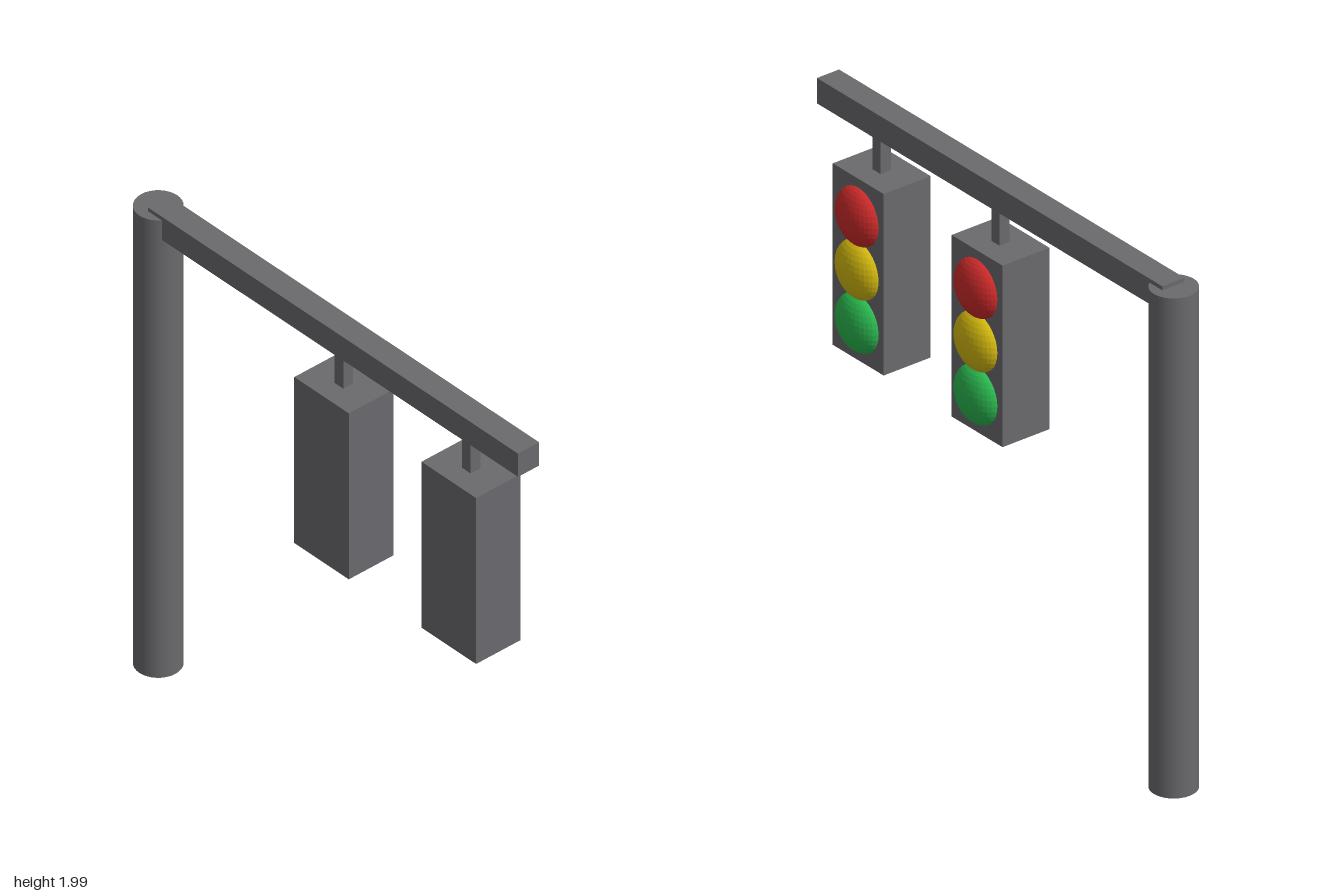
import * as THREE from 'three';

const AXIS_X = -0.03; // shared centre line of pole, arm and signals

const paint = (color, flatShading = false) => new THREE.MeshStandardMaterial({ color, flatShading });

function part(parent, name, geometry, material, x, y, z) {
  const mesh = new THREE.Mesh(geometry, material);
  mesh.name = name;
  mesh.position.set(x, y, z);
  parent.add(mesh);
  return mesh;
}

export function createModel() {
  const model = new THREE.Group();
  model.name = 'trafficLight';
  const metal = paint(0x6a6a6e);

  // Upright pole and overhanging arm
  part(model, 'pole', new THREE.CylinderGeometry(0.088, 0.088, 1.97, 32), metal, AXIS_X, 0.985, -0.912);
  part(model, 'arm', new THREE.BoxGeometry(0.098, 0.1, 1.91), metal, AXIS_X, 1.936, 0.045);

  // Two hanging signals with domed lamps facing +x
  const hangerShape = new THREE.BoxGeometry(0.045, 0.17, 0.045);
  const housingShape = new THREE.BoxGeometry(0.207, 0.715, 0.282);
  const lampShape = new THREE.SphereGeometry(0.113, 32, 16).scale(0.53, 1, 1);
  const lamps = [
    ['redLamp', paint(0xcc2a2a, true), 1.588],
    ['yellowLamp', paint(0xd2b80f, true), 1.378],
    ['greenLamp', paint(0x2ab84f, true), 1.168],
  ];
  for (const [name, z] of [['outerSignal', 0.703], ['innerSignal', 0.046]]) {
    const signal = new THREE.Group();
    signal.name = name;
    signal.position.z = z;
    part(signal, 'hanger', hangerShape, metal, AXIS_X, 1.81, 0);
    part(signal, 'housing', housingShape, metal, AXIS_X, 1.378, 0);
    for (const [lamp, material, y] of lamps) part(signal, lamp, lampShape, material, 0.07, y, 0);
    model.add(signal);
  }
  return model;
}
